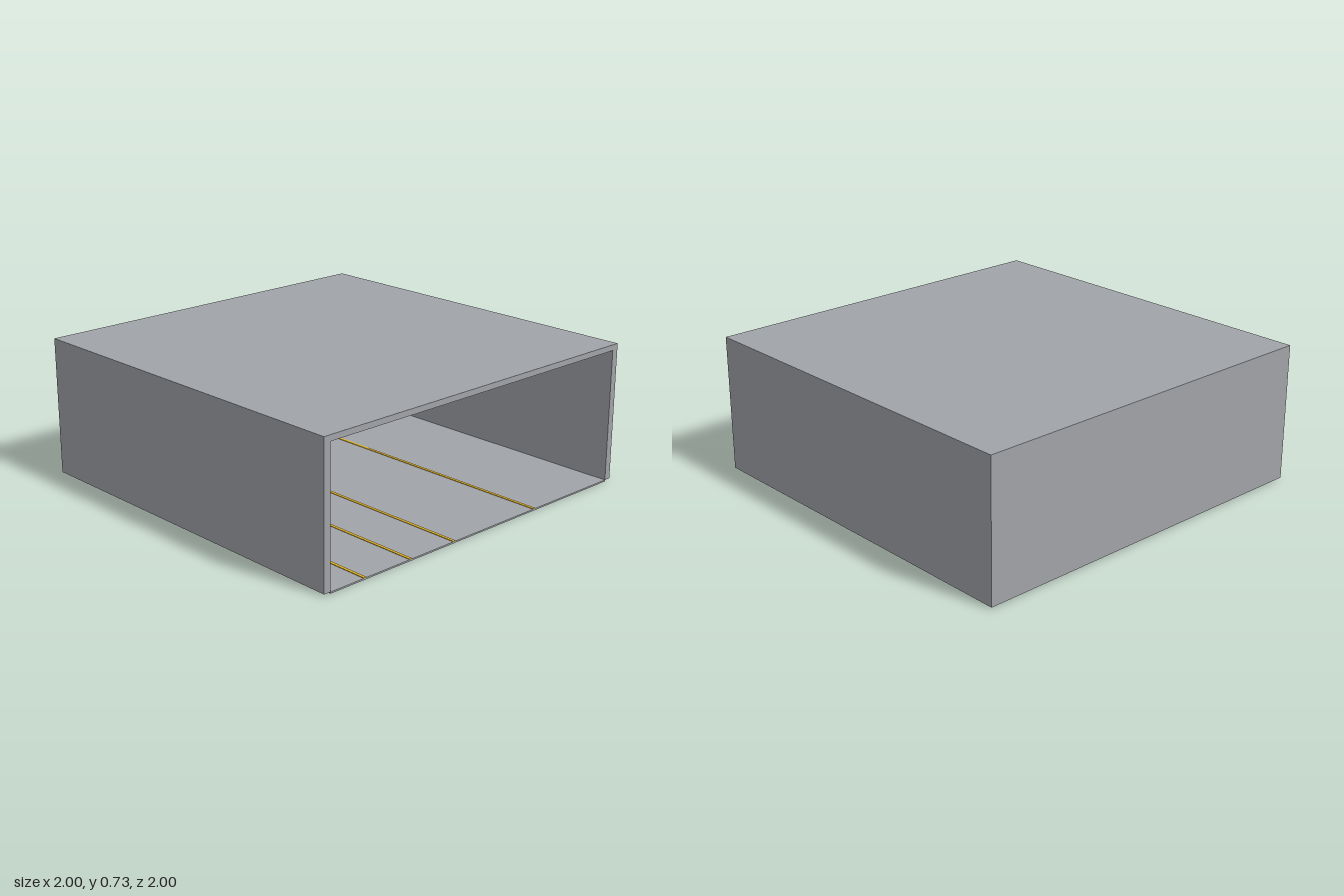
import * as THREE from 'three';

export function createModel() {
  const model = new THREE.Group();
  model.name = 'openBay';

  const concrete = new THREE.MeshStandardMaterial({ color: 0xa0a3a8 });
  concrete.name = 'concrete grey';
  const paint = new THREE.MeshStandardMaterial({ color: 0xe2b428 });
  paint.name = 'line yellow';

  // Box given by its minimum and maximum corners
  function block(name, material, [x0, y0, z0], [x1, y1, z1]) {
    const mesh = new THREE.Mesh(new THREE.BoxGeometry(x1 - x0, y1 - y0, z1 - z0), material);
    mesh.position.set((x0 + x1) / 2, (y0 + y1) / 2, (z0 + z1) / 2);
    mesh.name = name;
    model.add(mesh);
  }

  const base = 0.008, ceiling = 0.7, top = 0.73, inner = 0.963;

  // Shell, open at the front
  block('roof', concrete, [-1, ceiling, -1], [1, top, 1]);
  block('leftWall', concrete, [inner, base, -1], [1, ceiling, 1]);
  block('rightWall', concrete, [-1, base, -1], [-inner, ceiling, 1]);
  block('backWall', concrete, [-inner, base, -1], [inner, ceiling, -inner]);

  // Floor slab stops short of the back wall, leaving a slot
  block('floor', concrete, [-inner, 0, -0.923], [inner, base, 1]);

  // Lines along the floor, bridging the slot
  for (const x of [-0.755, -0.465, -0.175, 0.4]) {
    block('floorLine', paint, [x - 0.008, base, -inner], [x + 0.008, base + 0.003, 1]);
  }

  // Line across the back wall
  block('wallLine', paint, [-inner, 0.216, -inner], [inner, 0.231, -inner + 0.004]);

  return model;
}
